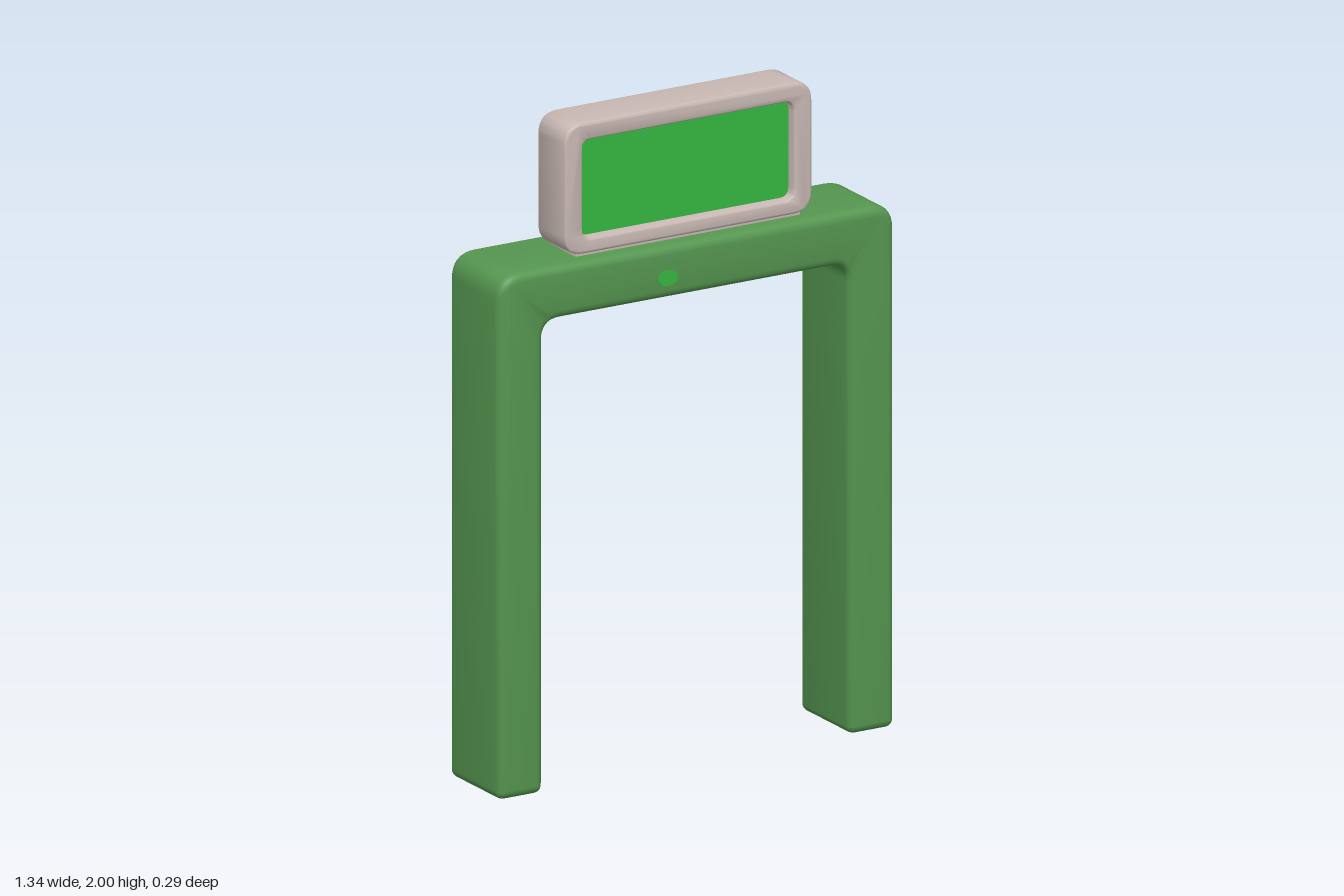
import * as THREE from 'three';
import { toCreasedNormals } from 'three/addons/utils/BufferGeometryUtils.js';

const archGreen = new THREE.MeshStandardMaterial({ name: 'archGreen', color: 0x559650 });
const screenGreen = new THREE.MeshStandardMaterial({ name: 'screenGreen', color: 0x34b640 });
const casing = new THREE.MeshStandardMaterial({ name: 'warmGreyCasing', color: 0xc8b8b3 });

// Draws a closed outline from [x, y, cornerRadius] points
function roundedOutline(points, path = new THREE.Shape()) {
  const n = points.length;
  points.forEach(([x, y, r], i) => {
    const corner = new THREE.Vector2(x, y);
    const toward = ([px, py]) => new THREE.Vector2(px, py).sub(corner).setLength(r).add(corner);
    const a = toward(points[(i + n - 1) % n]);
    const b = toward(points[(i + 1) % n]);
    if (i === 0) path.moveTo(a.x, a.y); else path.lineTo(a.x, a.y);
    path.quadraticCurveTo(x, y, b.x, b.y);
  });
  path.closePath();
  return path;
}

const rect = (x0, y0, x1, y1, r) => [[x0, y0, r], [x1, y0, r], [x1, y1, r], [x0, y1, r]];

// Extrudes a shape from z0 to z1 with edges softened inward
function slab(name, shape, z0, z1, bevel, material) {
  const g = new THREE.ExtrudeGeometry(shape, {
    depth: z1 - z0 - 2 * bevel, curveSegments: 8,
    bevelEnabled: bevel > 0, bevelThickness: bevel, bevelSize: bevel, bevelOffset: -bevel, bevelSegments: 4,
  });
  g.translate(0, 0, z0 + bevel);
  const mesh = new THREE.Mesh(toCreasedNormals(g, 0.6), material);
  mesh.name = name;
  return mesh;
}

export function createModel() {
  const model = new THREE.Group();
  model.name = 'signArch';

  // Two legs and a crossbeam in one piece
  const archShape = roundedOutline([
    [-0.67, 0, 0.028], [-0.518, 0, 0.028], [-0.518, 1.435, 0.06], [0.515, 1.435, 0.06],
    [0.515, 0, 0.028], [0.67, 0, 0.028], [0.67, 1.595, 0.08], [-0.67, 1.595, 0.08],
  ]);
  model.add(slab('arch', archShape, -0.142, 0.142, 0.026, archGreen));

  // Sign box: rim around a recess, filled behind the screen
  const sign = new THREE.Group();
  sign.name = 'sign';
  const rimShape = roundedOutline(rect(-0.42, 1.6, 0.418, 2, 0.065));
  rimShape.holes.push(roundedOutline(rect(-0.358, 1.647, 0.355, 1.945, 0.03), new THREE.Path()));
  sign.add(slab('signRim', rimShape, -0.06, 0.095, 0.01, casing));
  sign.add(slab('signBack', roundedOutline(rect(-0.375, 1.63, 0.372, 1.962, 0.03)), -0.06, 0.06, 0, casing));
  sign.add(slab('screen', roundedOutline(rect(-0.357, 1.648, 0.354, 1.944, 0.03)), 0.058, 0.065, 0, screenGreen));
  // Low foot joining the sign to the beam
  sign.add(slab('signFoot', roundedOutline(rect(-0.38, 1.58, 0.38, 1.63, 0.01)), -0.055, 0.09, 0.004, casing));
  model.add(sign);

  // Indicator light on the beam
  const dotShape = new THREE.Shape().absellipse(-0.1, 1.498, 0.034, 0.024, 0, Math.PI * 2);
  model.add(slab('indicatorLight', dotShape, 0.139, 0.144, 0, screenGreen));

  return model;
}
